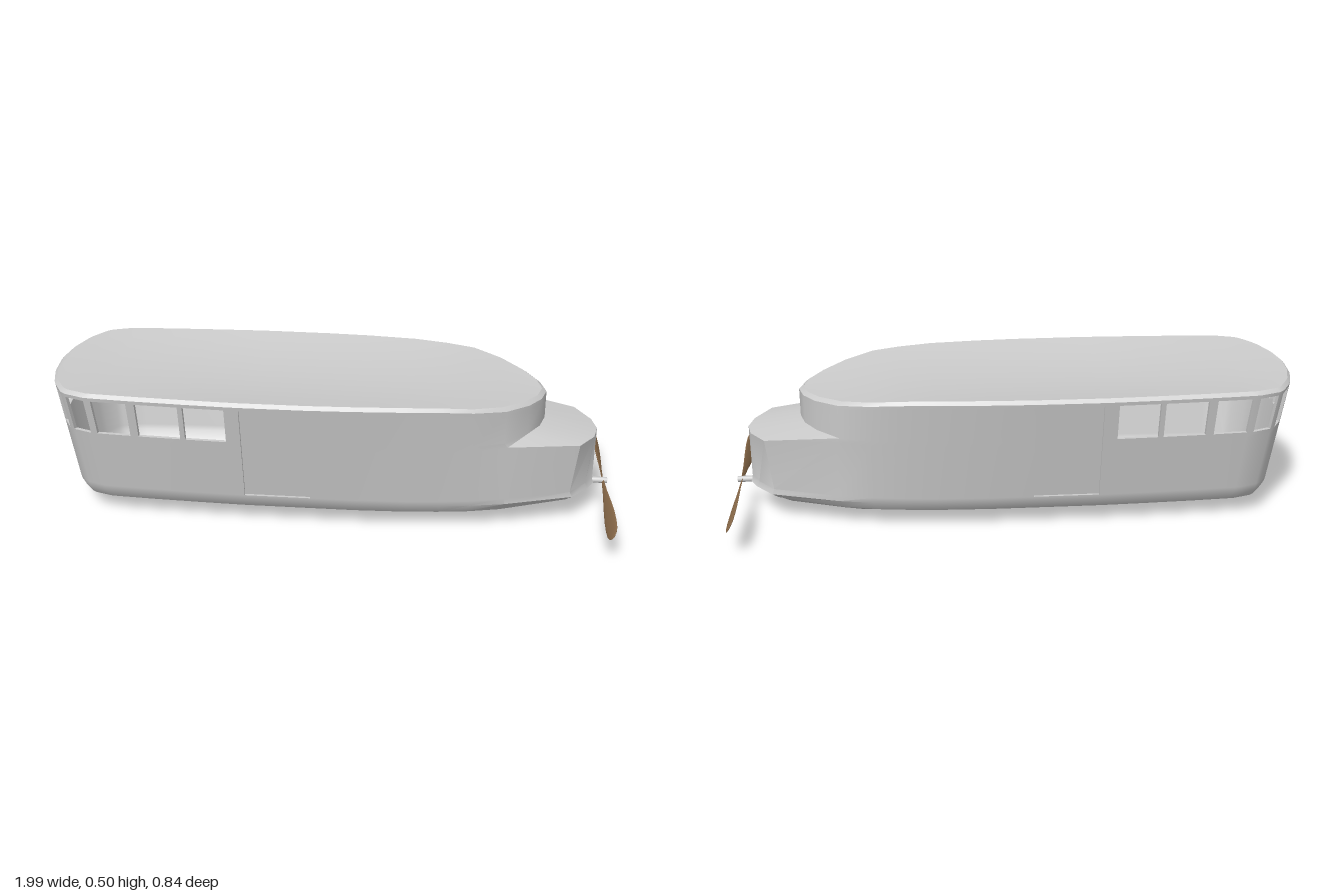
import * as THREE from 'three';
import { toCreasedNormals } from 'three/addons/utils/BufferGeometryUtils.js';

const V = (x, y, z) => new THREE.Vector3(x, y, z);
const grey = new THREE.MeshStandardMaterial({ color: 0xcccccc, side: THREE.DoubleSide });
const wood = new THREE.MeshStandardMaterial({ color: 0x8b6b4a });

// Surface through rows of points; skip(i, j) leaves a quad open
function grid(name, rows, skip = () => false, crease = 0.6) {
  const n = rows[0].length, index = [];
  for (let i = 0; i < rows.length - 1; i++) for (let j = 0; j < n - 1; j++) {
    if (skip(i, j)) continue;
    const a = i * n + j, b = a + n;
    index.push(a, b, b + 1, a, b + 1, a + 1);
  }
  const geo = new THREE.BufferGeometry().setFromPoints(rows.flat());
  geo.setIndex(index);
  const mesh = new THREE.Mesh(toCreasedNormals(geo, crease), grey);
  mesh.name = name;
  return mesh;
}

// Piecewise linear lookup in [x, value] pairs
function lookup(table, x) {
  if (x <= table[0][0]) return table[0][1];
  for (let i = 1; i < table.length; i++) {
    const [x0, v0] = table[i - 1], [x1, v1] = table[i];
    if (x <= x1) return x1 - x0 < 1e-6 ? v1 : v0 + (v1 - v0) * (x - x0) / (x1 - x0);
  }
  return table[table.length - 1][1];
}

// Rim outline from the nose to the tail, left half: [x, z]
const rim = [
  [-1, 0], [-0.998, 0.02], [-0.99, 0.10], [-0.984, 0.125], [-0.963, 0.2], [-0.952, 0.225],
  [-0.915, 0.288], [-0.895, 0.305], [-0.825, 0.332], [-0.80, 0.335], [-0.675, 0.343],
  [-0.645, 0.345], [-0.495, 0.352], [-0.478, 0.353], [-0.335, 0.358], [-0.285, 0.359],
  [-0.055, 0.357], [0.1, 0.35], [0.28, 0.335], [0.4, 0.315], [0.5, 0.295],
  [0.6, 0.235], [0.68, 0.15], [0.725, 0.075], [0.745, 0],
];
// Foot of the wall at the tail, by station
const tailFoot = { 17: [0.1, 0.277], 18: [0.28, 0.268], 19: [0.4, 0.255], 20: [0.5, 0.24],
  21: [0.62, 0.215], 22: [0.86, 0.135], 23: [0.92, 0.06], 24: [0.95, 0] };
// Upper edge of the engine cowl: [x, y, z]
const cowl = { 21: [0.62, 0.328, 0.233], 22: [0.87, 0.316, 0.165], 23: [0.925, 0.311, 0.075], 24: [0.94, 0.31, 0] };
const rimHeight = [[0.1, 0.5], [0.28, 0.499], [0.4, 0.495], [0.5, 0.488], [0.6, 0.475], [0.68, 0.464], [0.745, 0.456]];
const keel = [[-0.92, 0.064], [-0.75, 0.057], [-0.62, 0.006], [-0.3, 0.006], [-0.15, 0.054],
  [0.1, 0.048], [0.22, 0.006], [0.4, 0.003], [0.55, 0], [0.8, 0.035], [0.93, 0.08]];
const roofDip = [[-1, 0], [-0.8, 0.015], [-0.3, 0.03], [0.2, 0.025], [0.745, 0]];
const windows = [1, 3, 5, 7, 9, 11, 13], door = 15;
const SILL = 4, HEAD = 5;

// Wall column at one station, from the chine up to the rim
function column(i) {
  const [tx, tz] = rim[i];
  const [fx, fz] = tailFoot[i] || [tx < -0.6 ? -0.6 + (tx + 0.6) * 0.8625 : tx, tz * 0.78];
  const h = lookup(rimHeight, tx);
  const at = y => {
    const t = (y - 0.1) / 0.39;
    return V(fx + (tx - fx) * t, y, fz + (tz - fz) * t);
  };
  const cabin = y => i > 20 ? V(tx + 0.008, y, tz * 1.01) : at(y);
  return [
    V(fx < 0 ? fx * 0.985 : fx * 0.975, 0.064 + 0.02 * THREE.MathUtils.smoothstep(fx, 0.5, 0.95), fz * 0.9),
    at(0.1), at(0.12),
    cowl[i] ? V(...cowl[i]) : at(0.325),
    cabin(0.345), cabin(h - 0.025), cabin(h - 0.012),
    V(tx * 0.99, h, tz * 0.965),
  ];
}

// Frame around an opening and, for the door, the recessed panel
function opening(name, a, b, low, high, depth, panel) {
  const g = new THREE.Group();
  g.name = name;
  const outer = [a[low], b[low], b[high], a[high], a[low]];
  const inward = b[low].clone().sub(a[low]).cross(V(0, 1, 0)).normalize().multiplyScalar(-depth);
  const inner = outer.map(p => p.clone().add(inward));
  g.add(grid(name + 'Reveal', [outer, inner], undefined, 0.1));
  if (panel) g.add(grid(name + 'Panel', [[inner[0], inner[3]], [inner[1], inner[2]]]));
  return g;
}

export function createModel() {
  const model = new THREE.Group();
  model.name = 'gondola';
  const last = rim.length - 1;
  const left = rim.map((_, i) => column(i));
  const right = left.map(c => c.map(p => V(p.x, p.y, -p.z)));

  // Closed loop of columns: nose, left side, tail, right side, nose
  const loop = [...left, ...right.slice(0, last).reverse()];
  const station = i => i < last ? i : 2 * last - 1 - i;
  const isOpen = (i, j) => {
    const s = station(i);
    return (windows.includes(s) && j === SILL) || (s === door && j >= 2 && j < HEAD);
  };
  model.add(grid('cabinWall', loop, isOpen));

  // Window frames and doors on both sides
  for (let i = 0; i < loop.length - 1; i++) {
    const s = station(i);
    if (windows.includes(s)) model.add(opening('window', loop[i], loop[i + 1], SILL, HEAD, 0.014, false));
    if (s === door) model.add(opening('door', loop[i], loop[i + 1], 2, HEAD, 0.01, true));
  }

  // Hollowed roof inside the rim
  const across = [1, 0.8, 0.6, 0.4, 0.2, 0, -0.2, -0.4, -0.6, -0.8, -1];
  model.add(grid('roof', left.map(c => {
    const p = c[c.length - 1], dip = lookup(roofDip, p.x);
    return across.map(t => V(p.x, p.y - dip * (1 - t * t), p.z * t));
  }), undefined, 1));

  // Belly with two flat-bottomed swellings
  const chine = left.map(c => c[0]);
  const xs = [...chine.map(p => p.x), ...keel.map(k => k[0]).filter(x => x > -0.9 && x < 0.9)].sort((a, b) => a - b);
  model.add(grid('belly', xs.map(x => {
    const z = lookup(chine.map(p => [p.x, p.z]), x), y = lookup(chine.map(p => [p.x, p.y]), x);
    const k = Math.min(y, lookup(keel, x)), flat = Math.min(0.07, z * 0.4);
    const half = [[z, y], [z * 0.88, y + (k - y) * 0.18], [flat, k]];
    return [...half.map(([w, v]) => V(x, v, -w)), V(x, k, 0), ...half.reverse().map(([w, v]) => V(x, v, w))];
  }), undefined, 0.7));

  // Two-bladed propeller on a short shaft
  const propeller = new THREE.Group();
  propeller.name = 'propeller';
  propeller.position.set(0.978, 0.105, 0);
  const shaft = new THREE.Mesh(new THREE.CylinderGeometry(0.011, 0.011, 0.055, 16), grey);
  shaft.name = 'propellerShaft';
  shaft.rotation.z = Math.PI / 2;
  shaft.position.x = -0.012;
  propeller.add(shaft);
  const outline = [[0, 0], [0.006, 0.005], [0.012, 0.1], [0.022, 0.2], [0.028, 0.28], [0.029, 0.34],
    [0.026, 0.385], [0.018, 0.41], [0.008, 0.42], [0, 0.422]].map(p => new THREE.Vector2(...p));
  const bladeGeo = new THREE.LatheGeometry(outline, 20);
  bladeGeo.rotateX(Math.PI / 2).scale(0.16, 1, 1).rotateZ(-0.55);
  for (const turn of [0, Math.PI]) {
    const blade = new THREE.Mesh(bladeGeo, wood);
    blade.name = 'propellerBlade';
    blade.rotation.x = turn;
    propeller.add(blade);
  }
  model.add(propeller);
  return model;
}
